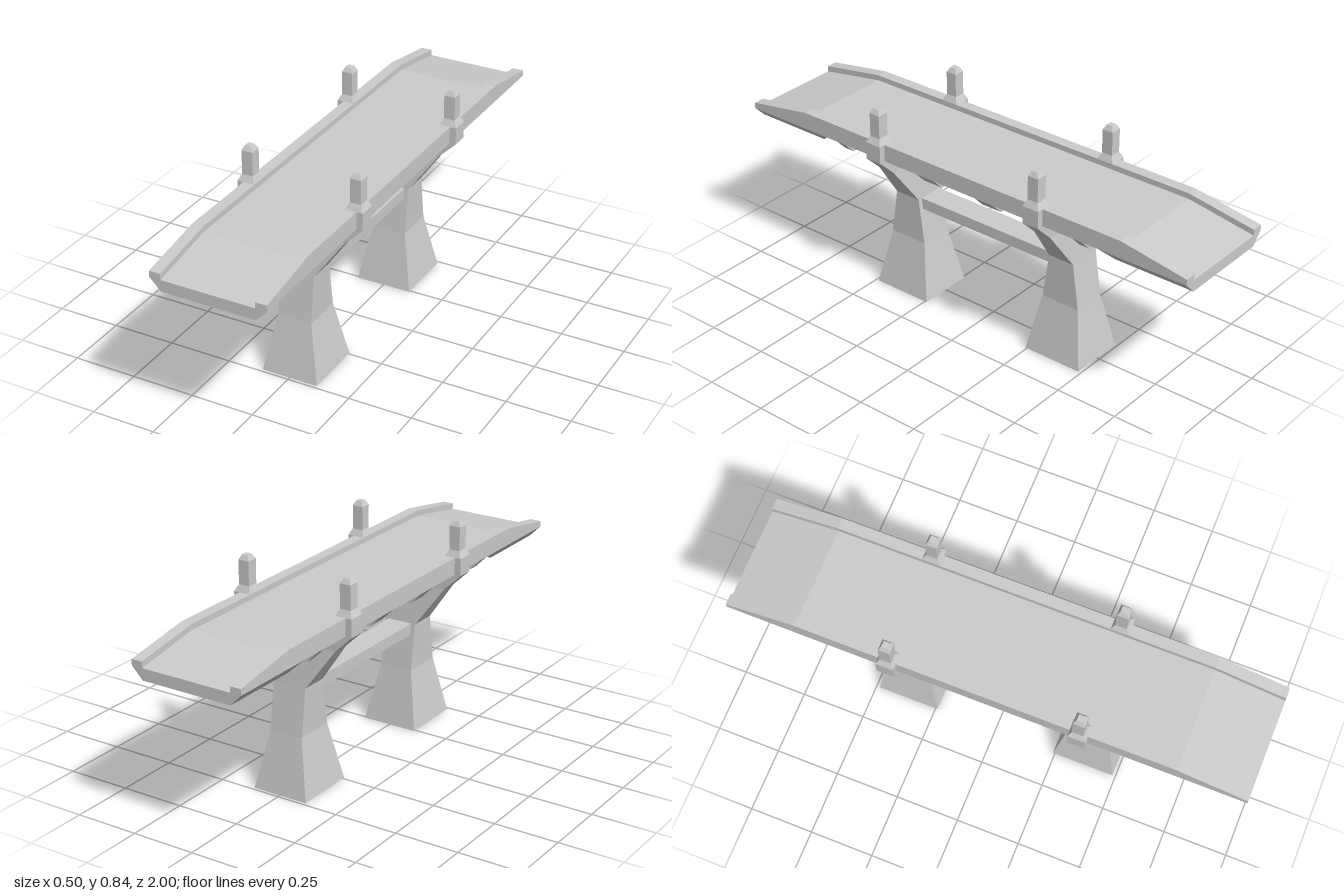
import * as THREE from 'three';

const material = new THREE.MeshStandardMaterial({ color: 0xcccccc, flatShading: true });

// Stacks rectangular sections [y, x0, x1, z0, z1] from bottom to top into a closed solid
function loft(sections) {
  const pos = [];
  const index = [];
  for (const [y, x0, x1, z0, z1] of sections) {
    pos.push(x0, y, z1, x1, y, z1, x1, y, z0, x0, y, z0);
  }
  const last = (sections.length - 1) * 4;
  for (let s = 0; s < last; s += 4) {
    for (let i = 0; i < 4; i++) {
      const a = s + i, b = s + (i + 1) % 4;
      index.push(a, b, b + 4, a, b + 4, a + 4);
    }
  }
  index.push(0, 3, 2, 0, 2, 1, last, last + 1, last + 2, last, last + 2, last + 3);
  const g = new THREE.BufferGeometry();
  g.setAttribute('position', new THREE.Float32BufferAttribute(pos, 3));
  g.setIndex(index);
  const flat = g.toNonIndexed();
  flat.computeVertexNormals();
  return flat;
}

// Extrudes a side outline of [z, y] points across x0..x1
function sideExtrude(points, x0, x1) {
  const shape = new THREE.Shape(points.map(([z, y]) => new THREE.Vector2(z, y)));
  const g = new THREE.ExtrudeGeometry(shape, { depth: x1 - x0, bevelEnabled: false });
  return g.rotateY(-Math.PI / 2).translate(x1, 0, 0);
}

export function createModel() {
  const model = new THREE.Group();
  model.name = 'bridge';
  const add = (name, geometry) => {
    const mesh = new THREE.Mesh(geometry, material);
    mesh.name = name;
    model.add(mesh);
  };

  const under = 0.637, ribBottom = 0.592;
  const inner = 0.182, outer = 0.226;

  // Road slab, ramping down at both ends
  add('roadDeck', sideExtrude([[-1, under], [1, under], [0.73, 0.683], [-0.73, 0.683]], -inner, inner));

  // Side parapets
  const parapet = [[-1, under], [1, under], [1, 0.66], [0.73, 0.705], [-0.73, 0.705], [-1, 0.66]];
  add('leftParapet', sideExtrude(parapet, inner, outer));
  add('rightParapet', sideExtrude(parapet, -outer, -inner));

  // Underside ribs and the solid blocks at the ends
  const rib = (name, b0, b1, t0 = b0, t1 = b1) => add(name, loft([
    [ribBottom, -inner, inner, b0, b1],
    [under, -outer, outer, t0, t1],
  ]));
  for (const [a, b] of [[0.095, 0.18], [0.528, 0.57]]) {
    rib('frontRib', a, b);
    rib('backRib', -b, -a);
  }
  rib('frontEndBlock', 0.68, 1, 0.64, 1);
  rib('backEndBlock', -1, -0.68, -1, -0.64);

  for (const s of [1, -1]) {
    const zc = 0.365 * s;
    const end = s > 0 ? 'front' : 'back';

    // Flared pier: [y, half width, half depth]
    add(end + 'Pier', loft([
      [0, 0.113, 0.123],
      [0.227, 0.068, 0.08],
      [0.41, 0.068, 0.054],
      [0.57, 0.182, 0.035],
      [under, 0.251, 0.034],
    ].map(([y, w, d]) => [y, -w, w, zc - d, zc + d])));

    // Posts on both sides: [y, centre x, half width, half depth]
    for (const m of [1, -1]) {
      add(end + (m > 0 ? 'LeftPost' : 'RightPost'), loft([
        [under, 0.217, 0.034, 0.034],
        [0.705, 0.217, 0.034, 0.034],
        [0.73, 0.216, 0.022, 0.022],
        [0.823, 0.216, 0.022, 0.022],
        [0.842, 0.216, 0.012, 0.012],
      ].map(([y, x, w, d]) => [y, m * x - w, m * x + w, zc - d, zc + d])));
    }
  }

  // Beam tying the two piers together
  add('tieBeam', new THREE.BoxGeometry(0.1, 0.045, 0.66).translate(0, 0.387, 0));

  return model;
}
